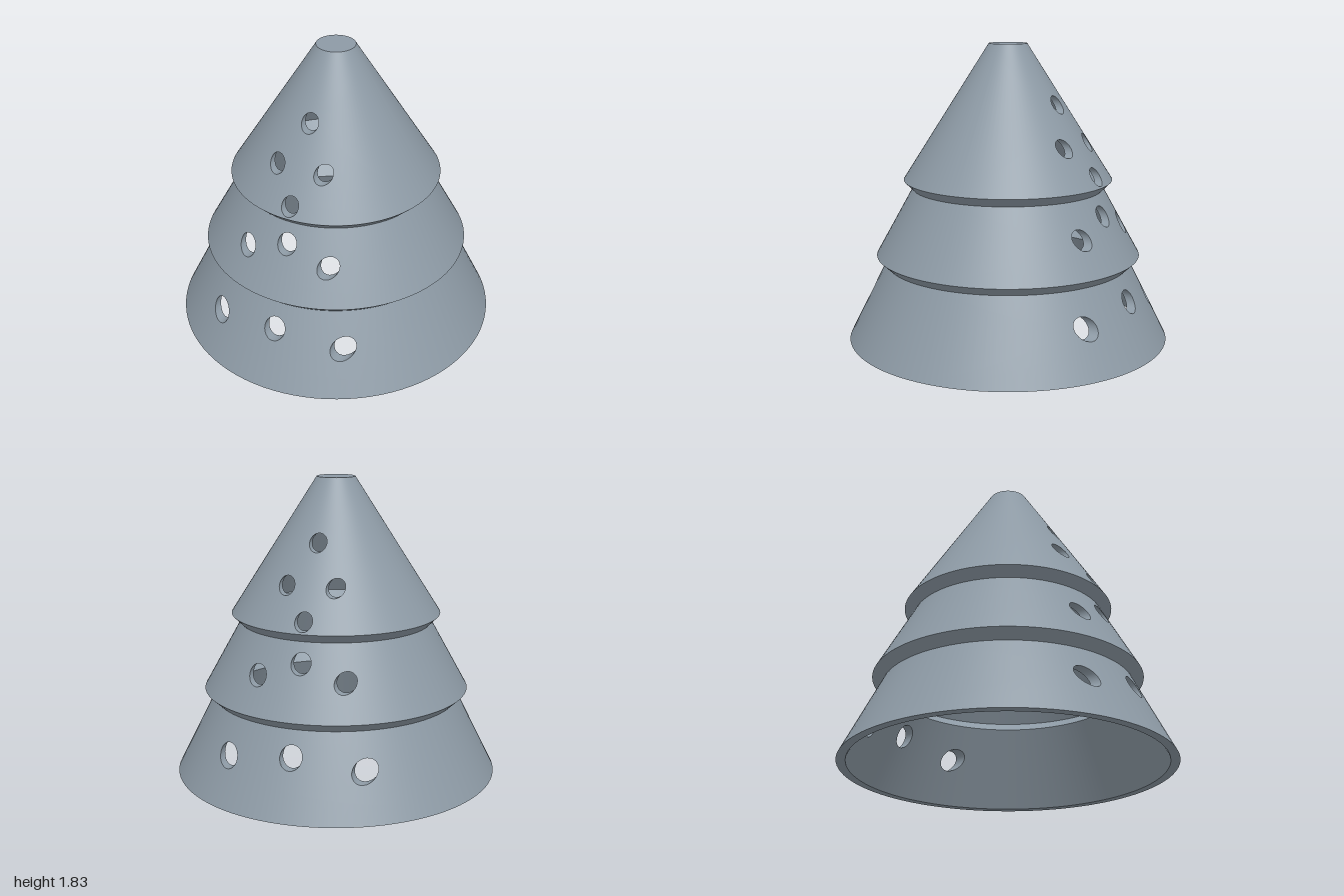
import * as THREE from 'three';

const COLUMNS = 48; // flat strips round half a cone
const HOLE_SIDES = 24;

// Each tier: outer and inner cone as [bottom radius, bottom y, top radius, top y], holes as [x, y, r]
const TIERS = [
  { name: 'lowerTier', outer: [1, 0, 0.762, 0.475], inner: [0.945, 0, 0.705, 0.475],
    holes: [[0, 0.33, 0.067], [-0.413, 0.27, 0.067], [0.413, 0.27, 0.067]] },
  { name: 'middleTier', outer: [0.82, 0.53, 0.59, 0.945], inner: [0.765, 0.535, 0.535, 0.95],
    holes: [[0, 0.83, 0.06], [-0.265, 0.74, 0.06], [0.265, 0.74, 0.06]] },
  { name: 'upperTier', outer: [0.645, 1, 0.117, 1.83], inner: [0.593, 1.004, 0.09, 1.79],
    holes: [[0, 1.475, 0.053], [-0.148, 1.24, 0.053], [0.148, 1.24, 0.053], [0, 1.063, 0.053]] },
];

const radiusAt = ([r0, y0, r1, y1], y) => r0 + (r1 - r0) * (y - y0) / (y1 - y0);

// Hole outline unrolled to (angle, height) on a cone
function outline(cone, [cx, cy, r]) {
  return Array.from({ length: HOLE_SIDES }, (_, i) => {
    const a = (i / HOLE_SIDES) * Math.PI * 2;
    const y = cy + r * Math.sin(a);
    return new THREE.Vector2(Math.asin((cx + r * Math.cos(a)) / radiusAt(cone, y)), y);
  });
}

const onCone = (cone, p) => {
  const r = radiusAt(cone, p.y);
  return [r * Math.sin(p.x), p.y, r * Math.cos(p.x)];
};

// Part of a flat polygon on one side of an upright line (side 1 keeps the right, -1 the left)
function clip(poly, x, side) {
  const kept = [];
  poly.forEach((p, i) => {
    const q = poly[(i + 1) % poly.length];
    const dp = (p.x - x) * side, dq = (q.x - x) * side;
    if (dp >= 0) kept.push(p);
    if (dp * dq < 0) kept.push(p.clone().lerp(q, dp / (dp - dq)));
  });
  return kept;
}

function makeGeometry(positions, normals) {
  const g = new THREE.BufferGeometry();
  g.setAttribute('position', new THREE.Float32BufferAttribute(positions, 3));
  g.setAttribute('normal', new THREE.Float32BufferAttribute(normals, 3));
  return g;
}

// Front half of a cone wall with its holes, cut flat, sliced into columns and wrapped round
function halfCone(cone, holes, inward) {
  const [r0, y0, r1, y1] = cone;
  const h = Math.PI / 2;
  const step = Math.PI / COLUMNS;
  const contour = [[-h, y0], [h, y0], [h, y1], [-h, y1]].map(([x, y]) => new THREE.Vector2(x, y));
  const cuts = holes.map((hole) => outline(cone, hole).reverse());
  const points = contour.concat(...cuts);
  const slope = (r1 - r0) / (y1 - y0);
  const len = Math.hypot(1, slope) * (inward ? -1 : 1);
  const positions = [], normals = [];

  for (const face of THREE.ShapeUtils.triangulateShape(contour, cuts)) {
    const triangle = face.map((i) => points[i]);
    for (let k = 0; k < COLUMNS; k++) {
      const left = -h + k * step;
      const piece = clip(clip(triangle, left, 1), left + step, -1);
      for (let i = 2; i < piece.length; i++) {
        const [a, b, c] = [piece[0], piece[i - 1], piece[i]];
        for (const p of inward ? [a, c, b] : [a, b, c]) {
          positions.push(...onCone(cone, p));
          normals.push(Math.sin(p.x) / len, -slope / len, Math.cos(p.x) / len);
        }
      }
    }
  }
  return makeGeometry(positions, normals);
}

// Tube through the wall thickness joining the outer and inner outlines
function holeWall(outer, inner, hole) {
  const o = outline(outer, hole).map((p) => onCone(outer, p));
  const n = outline(inner, hole).map((p) => onCone(inner, p));
  const positions = [], normals = [];
  const add = (ring, i) => {
    const a = (i / HOLE_SIDES) * Math.PI * 2;
    positions.push(...ring[i]);
    normals.push(-Math.cos(a), -Math.sin(a), 0);
  };
  for (let i = 0; i < HOLE_SIDES; i++) {
    const j = (i + 1) % HOLE_SIDES;
    add(o, i); add(o, j); add(n, i);
    add(o, j); add(n, j); add(n, i);
  }
  return makeGeometry(positions, normals);
}

export function createModel() {
  const model = new THREE.Group();
  model.name = 'hollowTree';
  const clay = new THREE.MeshStandardMaterial({ color: 0x8d9aa5 });
  clay.name = 'blue grey';

  const add = (parent, name, geometry, turn = 0) => {
    const mesh = new THREE.Mesh(geometry, clay);
    mesh.name = name;
    mesh.rotation.y = turn;
    parent.add(mesh);
  };

  // Tiers: the same pierced half makes the front and the back
  for (const { name, outer, inner, holes } of TIERS) {
    const tier = new THREE.Group();
    tier.name = name;
    const skin = halfCone(outer, holes, false);
    const lining = halfCone(inner, holes, true);
    const walls = holes.map((hole) => holeWall(outer, inner, hole));
    for (const [side, turn] of [['front', 0], ['back', Math.PI]]) {
      add(tier, side + 'Skin', skin, turn);
      add(tier, side + 'Lining', lining, turn);
      walls.forEach((w) => add(tier, side + 'HoleWall', w, turn));
    }
    model.add(tier);
  }

  // Plain rings between the tiers and the closing faces
  const ring = (name, r0, y0, r1, y1) => add(model, name,
    new THREE.LatheGeometry([new THREE.Vector2(r0, y0), new THREE.Vector2(r1, y1)], COLUMNS * 2));
  const [low, mid, top] = TIERS;
  for (const [a, b] of [[low, mid], [mid, top]]) {
    ring('eave', a.outer[2], a.outer[3], b.outer[0], b.outer[1]);
    ring('innerLedge', b.inner[0], b.inner[1], a.inner[2], a.inner[3]);
  }
  ring('baseRim', low.inner[0], 0, low.outer[0], 0);
  ring('topCap', top.outer[2], top.outer[3], 0, top.outer[3]);
  ring('ceiling', 0, top.inner[3], top.inner[2], top.inner[3]);

  return model;
}
